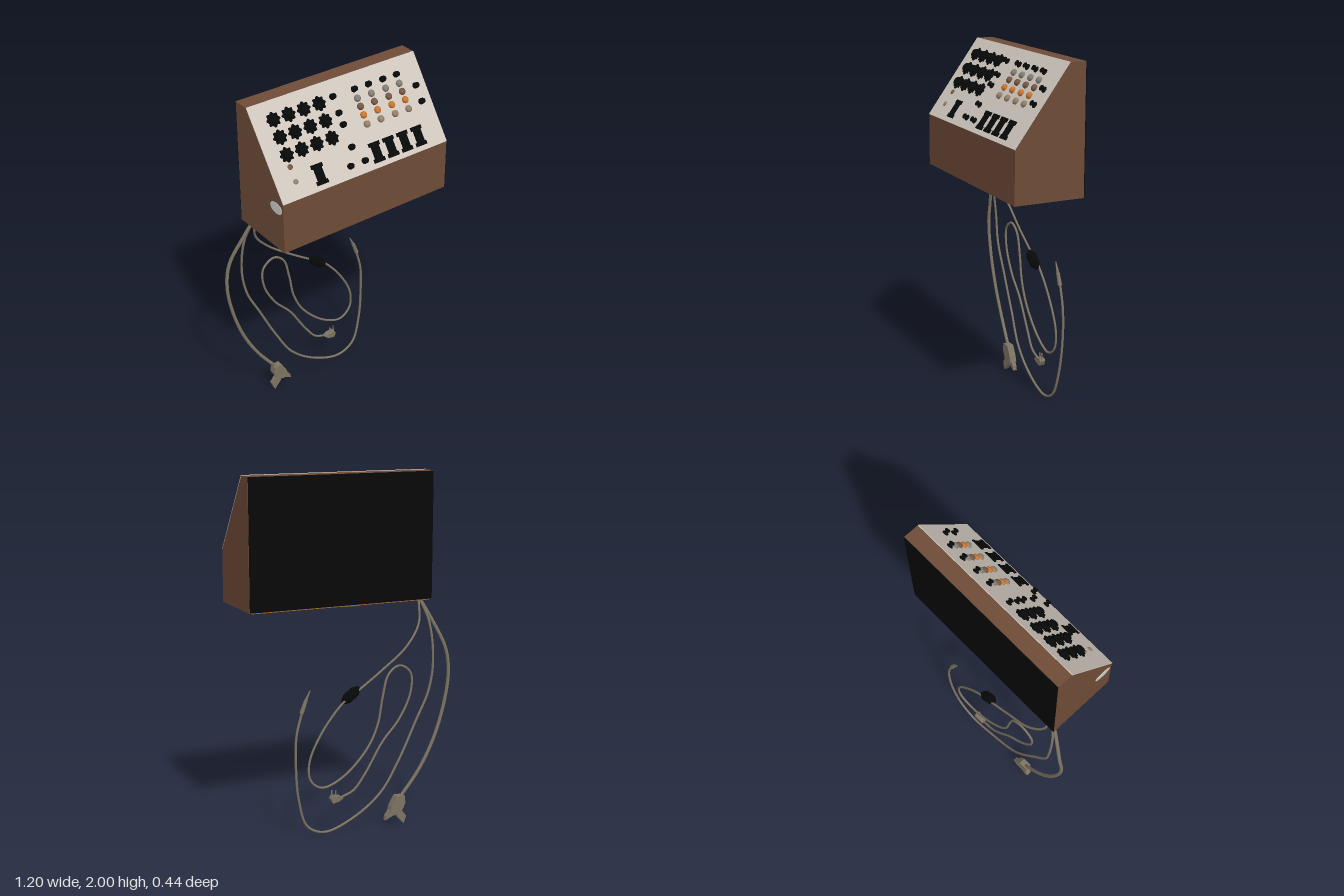
import * as THREE from 'three';

const mat = (name, color) => {
  const m = new THREE.MeshStandardMaterial({ color });
  m.name = name;
  return m;
};

export function createModel() {
  const wood = mat('brown wood', 0x6e4b37);
  const baseWood = mat('base wood', 0xa86a30);
  const faceplate = mat('pale faceplate', 0xd0c8bf);
  const black = mat('black plastic', 0x070808);
  const cable = mat('cable grey', 0x7c7362);
  const steel = mat('dull steel', 0x827d75);
  const silver = mat('pale label', 0xd0cfca);
  const orange = mat('orange button', 0xc87630);
  const tan = mat('brown button', 0x755843);
  const beige = mat('beige button', 0x94806a);

  const root = new THREE.Group();
  root.name = 'controlConsole';
  const add = (parent, name, geo, material, x = 0, y = 0, z = 0) => {
    const m = new THREE.Mesh(geo, material);
    m.name = name;
    m.position.set(x, y, z);
    parent.add(m);
    return m;
  };
  const polygon = (pts) => new THREE.Shape(pts.map(([x, y]) => new THREE.Vector2(x, y)));
  const extrude = (shape, depth) =>
    new THREE.ExtrudeGeometry(shape, { depth, bevelEnabled: false, curveSegments: 6 });
  const lathe = (pts, sides) =>
    new THREE.LatheGeometry(pts.map(([r, y]) => new THREE.Vector2(r, y)), sides).rotateX(Math.PI / 2);

  // Wooden cabinet, extruded from its side profile
  const X0 = -0.49, W = 1.085, CX = X0 + W / 2;
  const profile = polygon([[-0.22, 1.29], [0.182, 1.29], [0.182, 2], [0.092, 2], [-0.217, 1.58]]);
  add(root, 'cabinet', extrude(profile, W).rotateY(Math.PI / 2), wood, X0);
  add(root, 'backPanel', new THREE.BoxGeometry(W - 0.004, 0.706, 0.006), black, CX, 1.645, -0.184);

  // Underside: base board, metal rails, handle and socket
  add(root, 'baseBoard', new THREE.BoxGeometry(W - 0.03, 0.006, 0.29), baseWood, CX, 1.289, -0.035);
  for (const z of [0.135, 0.175])
    add(root, 'baseRail', new THREE.BoxGeometry(W - 0.04, 0.008, 0.022), steel, CX, 1.288, z);
  const handle = add(root, 'baseHandle', new THREE.SphereGeometry(1, 20, 10), steel, -0.03, 1.288, -0.12);
  handle.scale.set(0.095, 0.017, 0.036);
  add(root, 'baseSocket', new THREE.CylinderGeometry(0.018, 0.018, 0.008, 12), black, 0.12, 1.287, -0.125);

  // Oval label on the right side
  const label = add(root, 'sideLabel', new THREE.CylinderGeometry(1, 1, 0.004, 24).rotateZ(Math.PI / 2),
    silver, X0, 1.535, 0.155);
  label.scale.set(1, 0.032, 0.052);

  // Sloping control panel: local y runs up the slope, local z points outward
  const panel = new THREE.Group();
  panel.name = 'controlPanel';
  panel.position.set(0, 1.58, 0.217);
  panel.rotation.x = -Math.atan2(0.309, 0.42);
  root.add(panel);
  const L = Math.hypot(0.309, 0.42);
  const up = (y) => ((y - 1.58) / 0.42) * L;
  add(panel, 'faceplate', new THREE.BoxGeometry(W, L, 0.006), faceplate, CX, L / 2, 0.001);

  // Rotary knobs: a lobed skirt with a round cap
  const lobed = new THREE.Shape();
  for (let i = 0; i < 48; i++) {
    const a = (i / 48) * Math.PI * 2, r = 0.036 + 0.005 * Math.cos(a * 8);
    lobed[i ? 'lineTo' : 'moveTo'](r * Math.cos(a), r * Math.sin(a));
  }
  const skirtGeo = extrude(lobed, 0.009);
  const capGeo = lathe([[0.026, 0], [0.024, 0.024], [0.02, 0.027], [0, 0.027]], 16);
  for (const x of [-0.37, -0.277, -0.182, -0.085])
    for (const y of [1.919, 1.843, 1.767]) {
      add(panel, 'knobSkirt', skirtGeo, black, x, up(y), 0.003);
      add(panel, 'knobCap', capGeo, black, x, up(y), 0.003);
    }

  // Small waisted switches
  const switchGeo = lathe([[0.017, 0], [0.017, 0.006], [0.011, 0.01], [0.011, 0.016],
    [0.016, 0.021], [0.014, 0.026], [0, 0.026]], 14);
  const columns = [0.147, 0.24, 0.337, 0.43];
  const switches = [[0.005, 1.928], [0.005, 1.855], [0.005, 1.803], [0.005, 1.703],
    [-0.042, 1.63], [0.053, 1.63], [0.525, 1.855], [0.525, 1.782], ...columns.map((x) => [x, 1.928])];
  for (const [x, y] of switches) add(panel, 'smallSwitch', switchGeo, black, x, up(y), 0.003);

  // Columns of coloured push buttons
  const buttonGeo = lathe([[0.019, 0], [0.019, 0.01], [0.015, 0.016], [0.007, 0.019], [0, 0.02]], 16);
  const rows = [[1.887, steel], [1.85, tan], [1.812, orange], [1.771, beige]];
  for (const x of columns)
    for (const [y, m] of rows) add(panel, 'pushButton', buttonGeo, m, x, up(y), 0.003);

  // Indicator lamps
  const lampGeo = lathe([[0.015, 0], [0.014, 0.005], [0, 0.008]], 14);
  add(panel, 'indicatorLamp', lampGeo, tan, -0.375, up(1.716), 0.003);
  add(panel, 'indicatorLamp', lampGeo, beige, -0.375, up(1.652), 0.003);

  // Waisted rocker plates
  for (const x of [-0.23, 0.143, 0.238, 0.333, 0.43]) {
    for (const s of [-1, 1])
      add(panel, 'rockerFlange', new THREE.BoxGeometry(0.072, 0.022, 0.006), black, x, up(1.646) + s * 0.044, 0.006);
    add(panel, 'rockerBody', new THREE.BoxGeometry(0.05, 0.1, 0.008), black, x, up(1.646), 0.007);
  }

  // Cables hang just behind the cabinet, leaving from its underside
  const { smoothstep } = THREE.MathUtils;
  const depthAt = (y) => -0.19 - 0.017 * smoothstep(y, 0.05, 0.4) + 0.067 * smoothstep(y, 1.04, 1.3);
  const hang = (name, pts, r) => {
    const curve = new THREE.CatmullRomCurve3(pts.map(([x, y]) => new THREE.Vector3(x, y, depthAt(y))));
    add(root, name, new THREE.TubeGeometry(curve, pts.length * 10, r, 8), cable);
  };
  hang('plugCable', [[-0.43, 1.3], [-0.49, 1.19], [-0.57, 1.01], [-0.592, 0.865], [-0.565, 0.68],
    [-0.5, 0.48], [-0.41, 0.31], [-0.3, 0.16]], 0.01);
  hang('jackCable', [[-0.43, 1.3], [-0.48, 1.16], [-0.492, 0.94], [-0.465, 0.77], [-0.385, 0.6], [-0.28, 0.385],
    [-0.175, 0.21], [-0.015, 0.085], [0.17, 0.022], [0.275, 0.07], [0.33, 0.23], [0.35, 0.44],
    [0.345, 0.6], [0.312, 0.73]], 0.007);
  hang('powerCable', [[-0.43, 1.3], [-0.412, 1.155], [-0.32, 1.035], [-0.175, 0.92], [-0.03, 0.82], [0.063, 0.76],
    [0.196, 0.6], [0.27, 0.44], [0.26, 0.335], [0.19, 0.287], [0.063, 0.335], [-0.085, 0.483], [-0.148, 0.615],
    [-0.175, 0.76], [-0.212, 0.89], [-0.28, 0.934], [-0.35, 0.886], [-0.35, 0.77], [-0.28, 0.626],
    [-0.175, 0.504], [-0.07, 0.334], [0, 0.244], [0.08, 0.212]], 0.0065);

  // Tapered rod between two points in the cable plane
  const rod = (name, material, [x0, y0], [x1, y1], r0, r1, z) => {
    const len = Math.hypot(x1 - x0, y1 - y0);
    const m = add(root, name, new THREE.CylinderGeometry(r1, r0, len, 12), material, (x0 + x1) / 2, (y0 + y1) / 2, z);
    m.rotation.z = Math.atan2(y1 - y0, x1 - x0) - Math.PI / 2;
  };

  // Inline switch on the power cable
  rod('inlineSwitch', black, [-0.012, 0.812], [0.04, 0.772], 0.029, 0.029, -0.194);
  rod('inlineSwitchEnd', black, [-0.012, 0.812], [-0.036, 0.83], 0.028, 0.012, -0.194);
  rod('inlineSwitchEnd', black, [0.04, 0.772], [0.066, 0.755], 0.028, 0.012, -0.194);

  // Jack plug
  rod('jackSleeve', cable, [0.314, 0.725], [0.287, 0.795], 0.012, 0.01, -0.205);
  rod('jackTip', cable, [0.287, 0.795], [0.262, 0.848], 0.008, 0.003, -0.205);

  // Two-pin wall plug
  add(root, 'wallPlug', extrude(polygon([[0.065, 0.212], [0.09, 0.195], [0.128, 0.188], [0.14, 0.215],
    [0.13, 0.23], [0.085, 0.226]]), 0.034), cable, 0, 0, -0.212);
  rod('plugPin', cable, [0.108, 0.22], [0.106, 0.256], 0.004, 0.004, -0.195);
  rod('plugPin', cable, [0.132, 0.22], [0.13, 0.262], 0.004, 0.004, -0.195);

  // Angular connector housing
  add(root, 'connectorBody', extrude(polygon([[-0.325, 0.125], [-0.32, 0.17], [-0.268, 0.172], [-0.235, 0.115],
    [-0.225, 0.075], [-0.255, 0.06], [-0.3, 0.075]]), 0.04), cable, 0, 0, -0.212);
  add(root, 'connectorFlap', extrude(polygon([[-0.3, 0.09], [-0.265, 0.08], [-0.275, 0.05], [-0.318, 0.002],
    [-0.333, 0.045]]), 0.03), cable, 0, 0, -0.207);
  add(root, 'connectorFlap', extrude(polygon([[-0.24, 0.11], [-0.27, 0.065], [-0.2, 0.035], [-0.205, 0.06]]), 0.024),
    cable, 0, 0, -0.203);
  return root;
}
